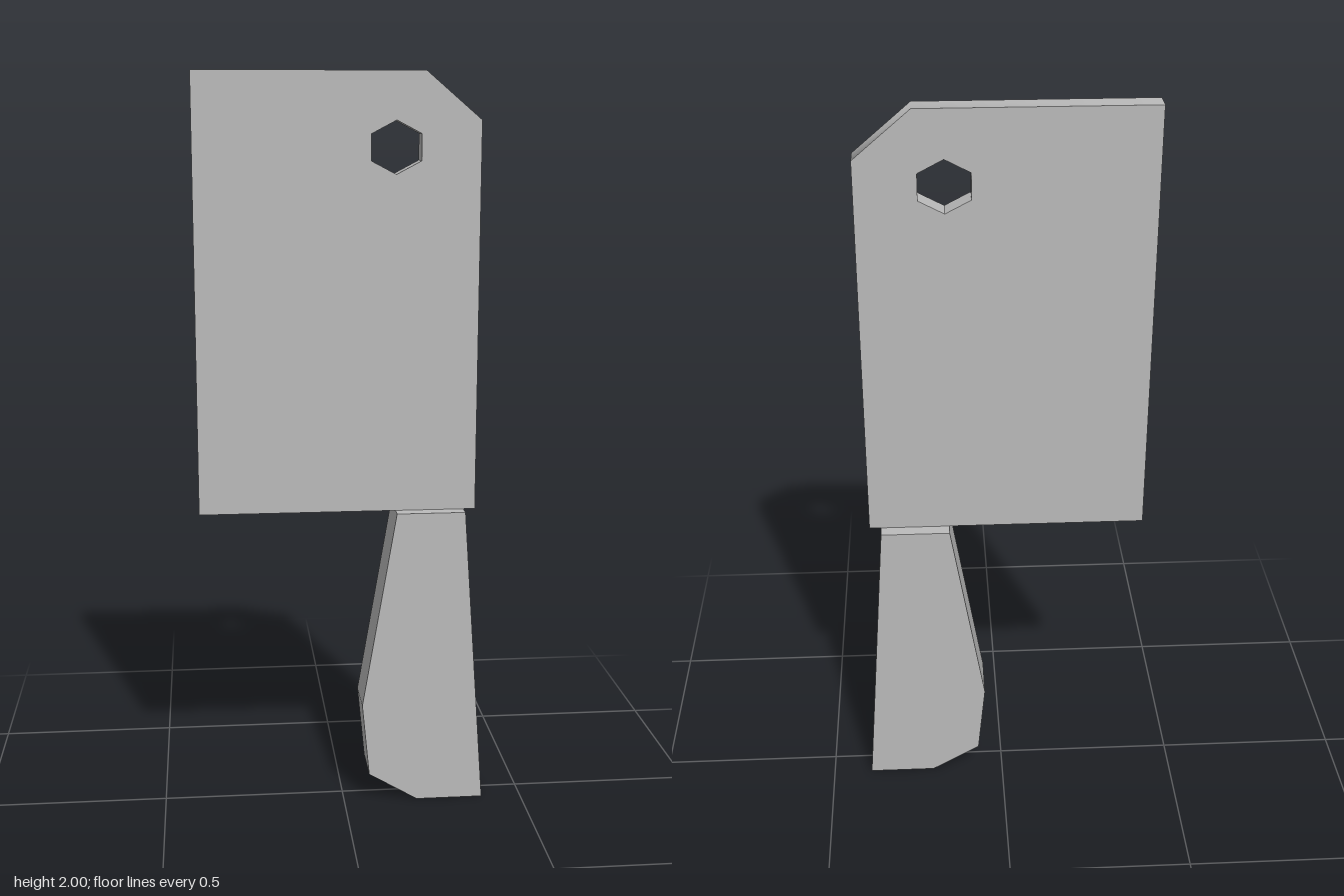
import * as THREE from 'three';
import { toCreasedNormals } from 'three/addons/utils/BufferGeometryUtils.js';

const points = (list) => list.map(([x, y]) => new THREE.Vector2(x, y));

// Extrudes an outline between two z positions
function slab(outline, zBack, zFront, hole) {
  const shape = new THREE.Shape(points(outline));
  if (hole) shape.holes.push(new THREE.Path(points(hole)));
  const geometry = new THREE.ExtrudeGeometry(shape, { depth: zFront - zBack, bevelEnabled: false });
  return geometry.translate(0, 0, zBack);
}

export function createModel() {
  const group = new THREE.Group();
  group.name = 'cleaver';
  const steel = new THREE.MeshStandardMaterial({ color: 0xbbbbbb });
  steel.name = 'grey steel';

  // Blade with a clipped corner and a six-sided hanging hole
  const hole = [];
  for (let i = 0; i < 6; i++) {
    const a = Math.PI / 2 - (i * Math.PI) / 3;
    hole.push([0.139 + 0.076 * Math.cos(a), 1.806 + 0.069 * Math.sin(a)]);
  }
  const bladeGeometry = slab(
    [[-0.39, 0.835], [0.362, 0.835], [0.362, 1.875], [0.215, 2], [-0.39, 2]],
    -0.032, 0.029, hole
  );
  // The clipped corner is shaded smoothly, all other edges stay sharp
  const blade = new THREE.Mesh(toCreasedNormals(bladeGeometry, 0.95), steel);
  blade.name = 'blade';

  // Flared handle
  const handle = new THREE.Mesh(
    slab([[0.205, 0], [0.39, 0], [0.33, 0.835], [0.143, 0.835], [0.05, 0.285], [0.07, 0.08]], -0.069, 0.067),
    steel
  );
  handle.name = 'handle';

  group.add(blade, handle);
  return group;
}
